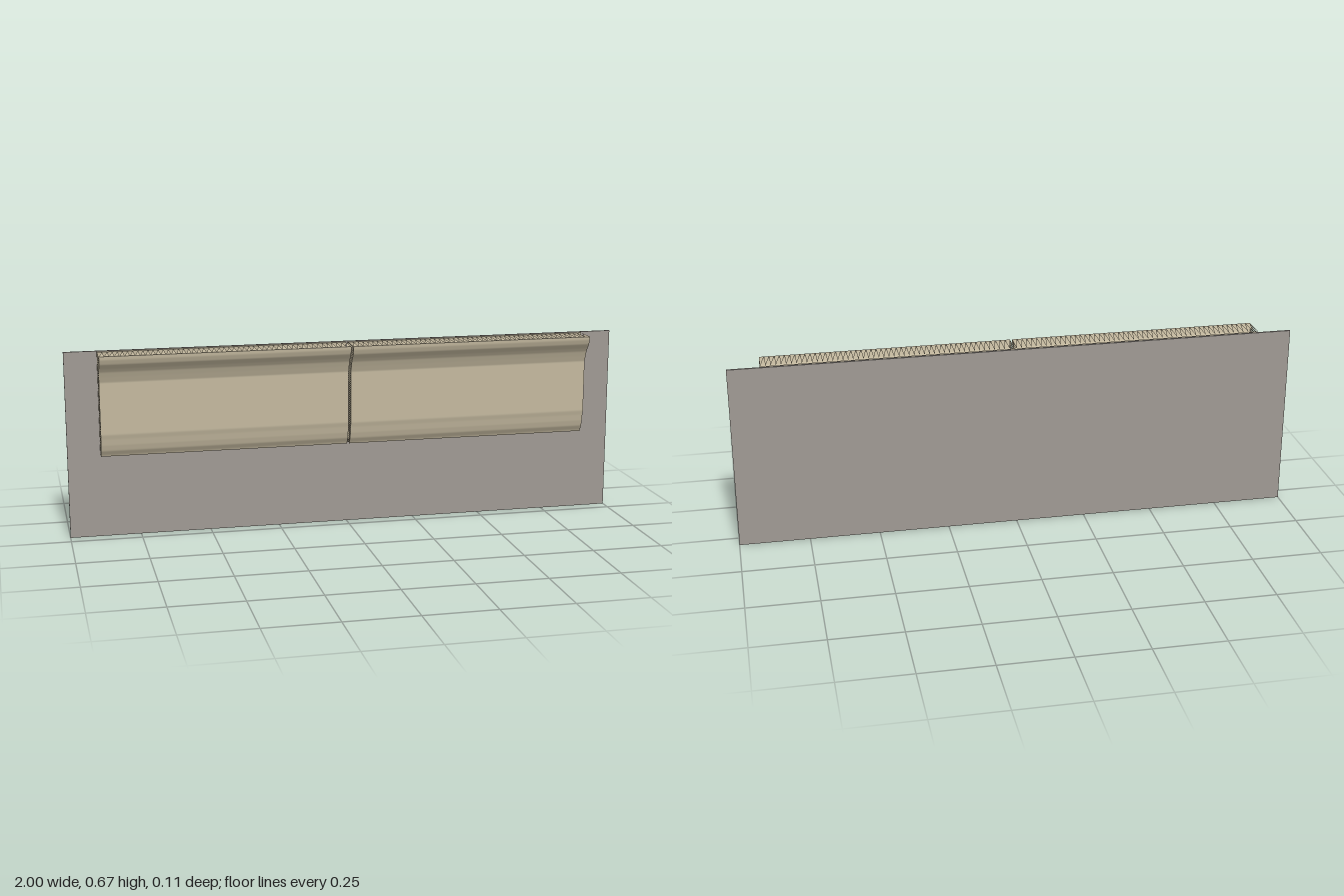
import * as THREE from 'three';

const BOTTOM = 0.297, TOP = 0.665, BACK = -0.035;
const INNER = 0.004, OUTER = 0.885, STEPS = 50;

// Moulding cross-section as [y, z], bottom to top
const PROFILE = [
  [0.297, -0.018], [0.304, -0.015], [0.32, -0.005], [0.341, 0.001], [0.364, 0.005], [0.38, 0.009],
  [0.566, 0.009], [0.5875, 0.017], [0.605, 0.024], [0.618, 0.033], [0.636, 0.047], [0.653, 0.0535], [0.665, 0.0545],
];

function frontZ(y) {
  for (let i = 1; i < PROFILE.length; i++) {
    const [y0, z0] = PROFILE[i - 1], [y1, z1] = PROFILE[i];
    if (y <= y1) return z0 + (z1 - z0) * Math.max(0, (y - y0) / (y1 - y0));
  }
  return PROFILE[PROFILE.length - 1][1];
}

// Row of triangular teeth running back from the front surface between two corners
function teeth(x0, y0, x1, y1) {
  const pos = [];
  const at = (i) => [x0 + (x1 - x0) * i / STEPS, y0 + (y1 - y0) * i / STEPS];
  for (let i = 0; i < STEPS; i++) {
    const a = at(i), b = at(i + 1);
    pos.push(...a, frontZ(a[1]), ...b, frontZ(b[1]), ...b, BACK);
  }
  const geo = new THREE.BufferGeometry();
  geo.setAttribute('position', new THREE.Float32BufferAttribute(pos, 3));
  geo.computeVertexNormals();
  return geo;
}

export function createModel() {
  const model = new THREE.Group();
  const wallGrey = new THREE.MeshStandardMaterial({ color: 0xa09a94, side: THREE.DoubleSide });
  const mouldingTan = new THREE.MeshStandardMaterial({ color: 0xc4b99f, side: THREE.DoubleSide });

  const add = (parent, name, geo, mat) => {
    const mesh = new THREE.Mesh(geo, mat);
    mesh.name = name;
    parent.add(mesh);
    return mesh;
  };

  // Thin wall panel behind everything
  add(model, 'wallPanel', new THREE.BoxGeometry(2, 0.667, 0.007), wallGrey).position.set(0, 0.3335, -0.0505);

  const width = OUTER - INNER, height = TOP - BOTTOM, midY = (TOP + BOTTOM) / 2;
  for (const side of [-1, 1]) {
    const half = new THREE.Group();
    half.name = side > 0 ? 'leftMoulding' : 'rightMoulding';
    model.add(half);
    const midX = side * (INNER + OUTER) / 2;
    const xa = midX - width / 2, xb = midX + width / 2;

    // Curved front face
    const front = new THREE.PlaneGeometry(width, height, 1, 100).translate(midX, midY, 0);
    const p = front.attributes.position;
    for (let i = 0; i < p.count; i++) p.setZ(i, frontZ(p.getY(i)));
    front.computeVertexNormals();
    add(half, 'curvedFront', front, mouldingTan);

    // Flat backing slab
    add(half, 'backingSlab', new THREE.BoxGeometry(width, height, 0.012), mouldingTan)
      .position.set(midX, midY, BACK - 0.006);

    // Toothed rims on all four edges
    add(half, 'topTeeth', teeth(xa, TOP, xb, TOP), mouldingTan);
    add(half, 'bottomTeeth', teeth(xa, BOTTOM, xb, BOTTOM), mouldingTan);
    add(half, 'rightEndTeeth', teeth(xa, BOTTOM, xa, TOP), mouldingTan);
    add(half, 'leftEndTeeth', teeth(xb, BOTTOM, xb, TOP), mouldingTan);
  }
  return model;
}
